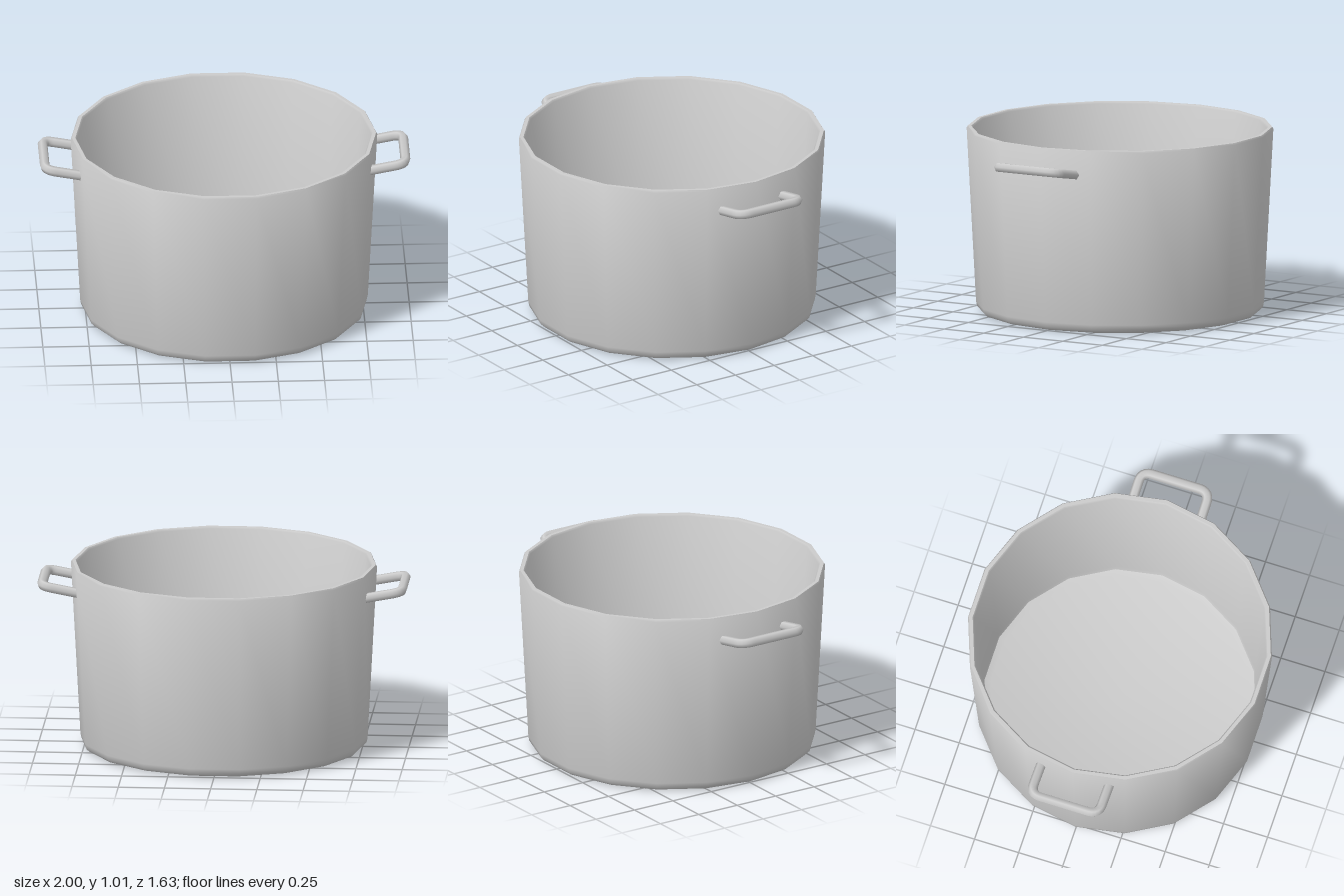
import * as THREE from 'three';
import { toCreasedNormals } from 'three/addons/utils/BufferGeometryUtils.js';

const SIDES = 18;
const material = new THREE.MeshStandardMaterial({ color: 0xcccccc });

// Pot: closed wall profile, outside from the base up, over the rim, inside down to the floor
function createPot() {
  const profile = [
    [0, 0], [0.725, 0], [0.755, 0.008], [0.772, 0.025], [0.777, 0.05],
    [0.828, 1.0], [0.822, 1.01], [0.803, 1.01], [0.795, 1.0],
    [0.745, 0.07], [0.738, 0.045], [0.705, 0.03], [0, 0.03],
  ].map(([r, y]) => new THREE.Vector2(r, y));
  const lathe = new THREE.LatheGeometry(profile, SIDES, Math.PI / 2);
  const pot = new THREE.Mesh(toCreasedNormals(lathe, 0.8), material);
  pot.name = 'pot';
  return pot;
}

// Handle: flat U-shaped rod with rounded corners, reaching out along +x
function createHandleGeometry() {
  const reach = 0.19, half = 0.193, bend = 0.06;
  const v = (x, z) => new THREE.Vector3(x, 0, z);
  const path = new THREE.CurvePath();
  path.add(new THREE.LineCurve3(v(-0.012, half), v(reach - bend, half)));
  path.add(new THREE.QuadraticBezierCurve3(v(reach - bend, half), v(reach, half), v(reach, half - bend)));
  path.add(new THREE.LineCurve3(v(reach, half - bend), v(reach, bend - half)));
  path.add(new THREE.QuadraticBezierCurve3(v(reach, bend - half), v(reach, -half), v(reach - bend, -half)));
  path.add(new THREE.LineCurve3(v(reach - bend, -half), v(-0.012, -half)));
  return new THREE.TubeGeometry(path, 48, 0.027, 6, false);
}

export function createModel() {
  const model = new THREE.Group();
  model.name = 'cookingPot';
  model.add(createPot());

  // Two handles, each tilted slightly upward away from the wall
  const geometry = createHandleGeometry();
  for (const [name, turn] of [['leftHandle', 0], ['rightHandle', Math.PI]]) {
    const rod = new THREE.Mesh(geometry, material);
    rod.position.set(0.787, 0.875, 0);
    rod.rotation.z = 0.185;
    const handle = new THREE.Group();
    handle.name = name;
    handle.rotation.y = turn;
    handle.add(rod);
    model.add(handle);
  }
  return model;
}
